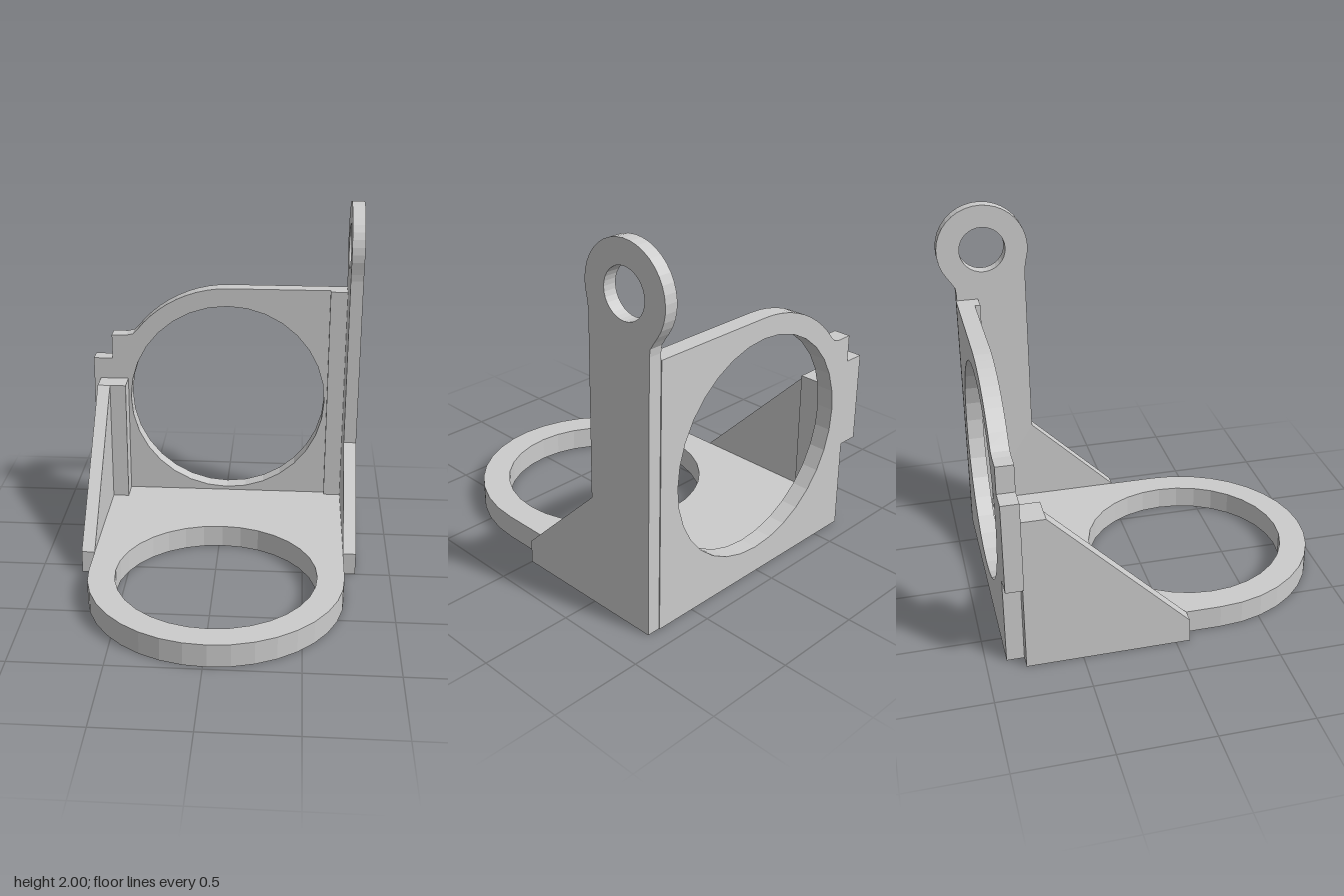
import * as THREE from 'three';

const material = new THREE.MeshStandardMaterial({ color: 0xcccccc });

// Points along an arc, angles in degrees
function arc(cx, cy, r, from, to, n) {
  return Array.from({ length: n + 1 }, (_, i) => {
    const a = THREE.MathUtils.degToRad(from + (to - from) * i / n);
    return [cx + r * Math.cos(a), cy + r * Math.sin(a)];
  });
}

const toVectors = pts => pts.map(p => new THREE.Vector2(p[0], p[1]));

// Flat plate cut from an outline, with an optional round hole [x, y, radius]
function plate(name, outline, depth, hole) {
  const shape = new THREE.Shape(toVectors(outline));
  if (hole) shape.holes.push(new THREE.Path(toVectors(arc(...hole, 0, 360, 32).slice(0, 32))));
  const geometry = new THREE.ExtrudeGeometry(shape, { depth, bevelEnabled: false });
  const mesh = new THREE.Mesh(geometry, material);
  mesh.name = name;
  return mesh;
}

// Plate whose outline is drawn in (z, y), spanning x0..x1
function sidePlate(name, outline, x0, x1, hole) {
  const mesh = plate(name, outline, x1 - x0, hole);
  mesh.rotation.y = -Math.PI / 2;
  mesh.position.x = x1;
  return mesh;
}

function block(name, x0, x1, y0, y1, z0, z1) {
  const mesh = new THREE.Mesh(new THREE.BoxGeometry(x1 - x0, y1 - y0, z1 - z0), material);
  mesh.name = name;
  mesh.position.set((x0 + x1) / 2, (y0 + y1) / 2, (z0 + z1) / 2);
  return mesh;
}

export function createModel() {
  const group = new THREE.Group();
  group.name = 'ringBracket';

  // Base plate with rounded front, outline drawn in (x, -z)
  const base = plate('basePlate', [
    [-0.69, 0.89], ...arc(0.02, -0.27, 0.71, 180, 360, 18), [0.73, 0.89],
  ], 0.13, [0.02, -0.27, 0.56]);
  base.rotation.x = -Math.PI / 2;
  group.add(base);

  // Upright back plate with shoulder, steps and side tab
  const back = plate('backPlate', [
    [-0.69, 0], [0.73, 0], [0.73, 1.455],
    ...arc(0.02, 0.75, 0.705, 90, 142, 10),
    [-0.56, 1.16], [-0.6, 1.15], [-0.69, 1.15], [-0.69, 1],
    [-0.805, 1], [-0.805, 0.5], [-0.69, 0.5],
  ], 0.095, [0.017, 0.748, 0.597]);
  back.position.z = -0.893;
  group.add(back);

  // Triangular gusset and its corner post
  group.add(sidePlate('rightGusset', [
    [-0.8, 0], [0.075, 0], [0.075, 0.13], [-0.667, 0.87], [-0.8, 0.87],
  ], -0.765, -0.69));
  group.add(block('rightPost', -0.69, -0.595, 0.13, 0.87, -0.8, -0.667));

  // Tall arm ending in an eye
  group.add(sidePlate('eyeArm', [
    [-0.888, 0], [0, 0], [0, 0.13], [-0.492, 0.61], [-0.492, 1.6],
    [-0.487, 1.64], ...arc(-0.727, 1.745, 0.257, -17, 215, 24),
    [-0.915, 1.565], [-0.893, 1.53], [-0.888, 1.49],
  ], 0.73, 0.803, [-0.727, 1.745, 0.13]));
  group.add(block('leftPost', 0.63, 0.73, 0.13, 1.455, -0.8, -0.768));

  return group;
}
